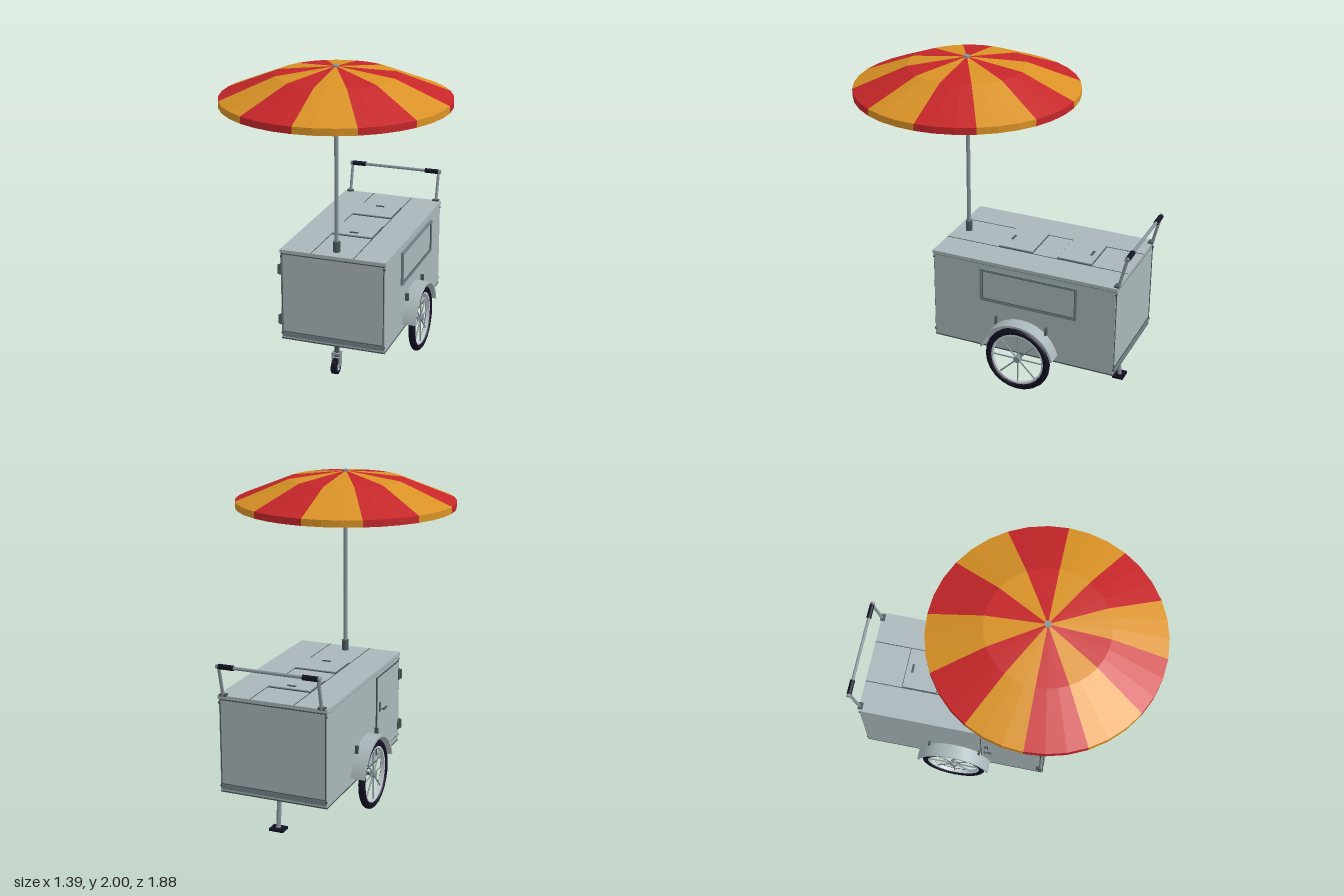
import * as THREE from 'three';
import { toCreasedNormals } from 'three/addons/utils/BufferGeometryUtils.js';

const paint = (name, color) => {
  const m = new THREE.MeshStandardMaterial({ color });
  m.name = name;
  return m;
};

export function createModel() {
  const cart = new THREE.Group();
  cart.name = 'vendingCart';
  const shell = paint('greyPaint', 0xa9b6b9);
  const trim = paint('darkTrim', 0x4b5759);
  const band = paint('midGrey', 0x74838a);
  const steel = paint('steel', 0x87939a);
  const rubber = paint('blackRubber', 0x0f0f22);
  const rimMat = paint('paleRim', 0xc6ced4);
  const red = paint('redCloth', 0xc62629);
  const orange = paint('orangeCloth', 0xda9226);
  red.side = orange.side = THREE.DoubleSide;

  const add = (name, geo, mat, x = 0, y = 0, z = 0, parent = cart) => {
    const m = new THREE.Mesh(geo, mat);
    m.name = name;
    m.position.set(x, y, z);
    parent.add(m);
    return m;
  };
  const box = (name, mat, [w, h, d], [x, y, z], parent) =>
    add(name, new THREE.BoxGeometry(w, h, d), mat, x, y, z, parent);
  // round bar between two points
  const rod = (name, mat, a, b, r, parent, sides = 12) => {
    const p = new THREE.Vector3(...a), q = new THREE.Vector3(...b);
    const m = add(name, new THREE.CylinderGeometry(r, r, p.distanceTo(q), sides), mat, 0, 0, 0, parent);
    m.position.copy(p).add(q).multiplyScalar(0.5);
    m.quaternion.setFromUnitVectors(new THREE.Vector3(0, 1, 0), q.sub(p).normalize());
    return m;
  };
  // rectangular border lying in the local xy plane
  const border = (name, mat, w, h, t, depth) => {
    const g = new THREE.Group();
    g.name = name;
    for (const s of [-1, 1]) {
      box(name + 'Upright', mat, [t, h, depth], [s * (w - t) / 2, 0, 0], g);
      box(name + 'Rail', mat, [w - 2 * t, t, depth], [0, s * (h - t) / 2, 0], g);
    }
    cart.add(g);
    return g;
  };

  // cabinet and lid
  box('cabinet', shell, [0.68, 0.585, 1.2], [0, 0.5125, -0.275]);
  box('lid', shell, [0.692, 0.022, 1.212], [0, 0.814, -0.275]);
  box('lidSeam', trim, [0.686, 0.005, 1.206], [0, 0.8015, -0.275]);
  box('baseEdge', trim, [0.684, 0.008, 1.204], [0, 0.224, -0.275]);
  for (const s of [-1, 1]) box('topSeam', trim, [0.005, 0.002, 1.21], [s * 0.138, 0.8255, -0.275]);

  // front and back panels
  for (const z of [0.326, -0.876]) {
    border('endPanelTrim', trim, 0.67, 0.53, 0.005, 0.006).position.set(0, 0.535, z);
    box('kickStrip', band, [0.67, 0.03, 0.005], [0, 0.254, z]);
    for (const s of [-1, 1]) for (const y of [0.26, 0.78])
      box('cornerStud', trim, [0.012, 0.012, 0.012], [s * 0.336, y, z]);
  }

  // sliding hatches on the lid
  for (const [z, hz] of [[-0.14, -0.07], [-0.53, -0.6]]) {
    box('hatchShadowLine', trim, [0.274, 0.006, 0.228], [0, 0.827, z]);
    box('hatch', shell, [0.264, 0.012, 0.218], [0, 0.83, z]);
    box('hatchHandle', trim, [0.055, 0.006, 0.014], [0, 0.838, hz]);
  }

  // framed display panel on the left side
  const frame = border('displayFrame', band, 0.64, 0.22, 0.014, 0.018);
  frame.position.set(0.347, 0.662, -0.315);
  frame.rotation.y = Math.PI / 2;
  const line = border('displayFrameLine', trim, 0.614, 0.194, 0.005, 0.016);
  line.position.set(0.345, 0.662, -0.315);
  line.rotation.y = Math.PI / 2;
  box('displayPanel', shell, [0.008, 0.19, 0.61], [0.343, 0.662, -0.315]);

  // service door on the right side
  const doorLine = border('doorOutline', trim, 0.4, 0.51, 0.006, 0.01);
  doorLine.position.set(-0.343, 0.52, 0.11);
  doorLine.rotation.y = Math.PI / 2;
  box('door', shell, [0.012, 0.498, 0.388], [-0.344, 0.52, 0.11]);
  for (const y of [0.345, 0.685]) {
    box('hingePlate', trim, [0.01, 0.07, 0.03], [-0.352, y, 0.3]);
    rod('hingePin', trim, [-0.36, y - 0.03, 0.31], [-0.36, y + 0.03, 0.31], 0.009);
  }
  box('latchPlate', trim, [0.006, 0.06, 0.025], [-0.352, 0.575, -0.05]);
  rod('latchStem', steel, [-0.35, 0.568, -0.05], [-0.38, 0.568, -0.05], 0.007);
  rod('latchLever', trim, [-0.38, 0.568, -0.06], [-0.38, 0.568, -0.01], 0.007);

  // wheels, mudguards and brackets
  const wheelY = 0.216, wheelZ = -0.27;
  const arc = new THREE.Shape();
  arc.absarc(0, 0, 0.248, 0.22, Math.PI - 0.22, false);
  arc.absarc(0, 0, 0.234, Math.PI - 0.22, 0.22, true);
  const guard = toCreasedNormals(
    new THREE.ExtrudeGeometry(arc, { depth: 0.092, bevelEnabled: false, curveSegments: 20 }), 0.6);
  for (const s of [-1, 1]) {
    const wheel = new THREE.Group();
    wheel.name = 'wheel';
    wheel.position.set(s * 0.395, wheelY, wheelZ);
    wheel.rotation.y = Math.PI / 2;
    cart.add(wheel);
    add('tyre', new THREE.TorusGeometry(0.194, 0.022, 10, 24), rubber, 0, 0, 0, wheel);
    const rimShape = new THREE.Shape().absarc(0, 0, 0.184, 0, Math.PI * 2);
    rimShape.holes.push(new THREE.Path().absarc(0, 0, 0.164, 0, Math.PI * 2));
    add('rim', toCreasedNormals(new THREE.ExtrudeGeometry(rimShape,
      { depth: 0.024, bevelEnabled: false, curveSegments: 24 }), 0.6), rimMat, 0, 0, -0.012, wheel);
    for (let i = 0; i < 8; i++) {
      const c = Math.cos(i * Math.PI / 4), n = Math.sin(i * Math.PI / 4);
      rod('spoke', steel, [c * 0.015, n * 0.015, 0], [c * 0.168, n * 0.168, 0], 0.005, wheel, 8);
    }
    rod('hub', steel, [0, 0, -0.018], [0, 0, 0.018], 0.022, wheel, 16);
    rod('axle', trim, [s * 0.3, wheelY, wheelZ], [s * 0.41, wheelY, wheelZ], 0.01);

    const mudguard = add('mudguard', guard, shell, s > 0 ? 0.339 : -0.431, wheelY, wheelZ);
    mudguard.rotation.y = Math.PI / 2;
    for (const dz of [-0.168, 0.168])
      box('mudguardBracket', trim, [0.022, 0.05, 0.012], [s * 0.35, 0.43, wheelZ + dz]);
  }

  // front caster
  const poleZ = 0.245;
  box('casterMount', steel, [0.06, 0.016, 0.06], [0, 0.212, poleZ]);
  rod('casterStem', trim, [0, 0.11, poleZ], [0, 0.21, poleZ], 0.017);
  box('casterForkTop', steel, [0.054, 0.012, 0.05], [0, 0.138, poleZ + 0.005]);
  for (const s of [-1, 1]) {
    const leg = box('casterFork', steel, [0.006, 0.1, 0.046], [s * 0.024, 0.095, 0.252]);
    leg.rotation.x = -0.12;
  }
  rod('casterTyre', rubber, [-0.018, 0.052, 0.265], [0.018, 0.052, 0.265], 0.05, cart, 20);
  rod('casterHub', rimMat, [-0.02, 0.052, 0.265], [0.02, 0.052, 0.265], 0.026, cart, 16);
  rod('casterAxle', trim, [-0.03, 0.052, 0.265], [0.03, 0.052, 0.265], 0.008);

  // rear stand
  box('standMount', steel, [0.06, 0.022, 0.05], [0, 0.211, -0.79]);
  rod('standLeg', steel, [0, 0.21, -0.787], [0, 0.015, -0.808], 0.014);
  box('standFoot', rubber, [0.09, 0.016, 0.07], [0, 0.011, -0.807]);

  // push handle
  for (const s of [-1, 1]) {
    box('handleFoot', trim, [0.044, 0.014, 0.03], [s * 0.31, 0.828, -0.872]);
    rod('handlePost', steel, [s * 0.31, 0.82, -0.878], [s * 0.31, 1.015, -0.926], 0.01);
    rod('handleGrip', rubber, [s * 0.215, 1.016, -0.926], [s * 0.31, 1.016, -0.926], 0.016);
    rod('handleEnd', steel, [s * 0.31, 1.016, -0.926], [s * 0.326, 1.016, -0.926], 0.014);
  }
  rod('handleBar', steel, [-0.31, 1.016, -0.926], [0.31, 1.016, -0.926], 0.01);

  // parasol pole, socket and hubs
  rod('pole', steel, [0, 0.82, poleZ], [0, 1.985, poleZ], 0.0125, cart, 16);
  rod('poleSocket', trim, [0, 0.82, poleZ], [0, 0.892, poleZ], 0.022, cart, 16);
  rod('parasolHub', rimMat, [0, 1.94, poleZ], [0, 1.968, poleZ], 0.025, cart, 16);
  rod('finial', steel, [0, 1.985, poleZ], [0, 1.998, poleZ], 0.02, cart, 16);

  // twelve cloth panels with a rib under each seam
  const profile = [[0.695, 1.768], [0.695, 1.81], [0.362, 1.944], [0.005, 1.99]];
  const points = profile.map(p => new THREE.Vector2(...p));
  for (let i = 0; i < 12; i++) {
    const a = i * Math.PI / 6;
    const panel = new THREE.LatheGeometry(points, 3, a, Math.PI / 6).toNonIndexed();
    panel.computeVertexNormals();
    add('parasolPanel', panel, i % 2 ? red : orange, 0, 0, poleZ);
    const under = ([r, y]) => [Math.sin(a) * (r - 0.006), y - 0.008, poleZ + Math.cos(a) * (r - 0.006)];
    rod('parasolRib', trim, under(profile[1]), under(profile[2]), 0.005, cart, 6);
    rod('parasolRib', trim, under(profile[2]), under([0.02, 1.988]), 0.005, cart, 6);
  }
  return cart;
}
